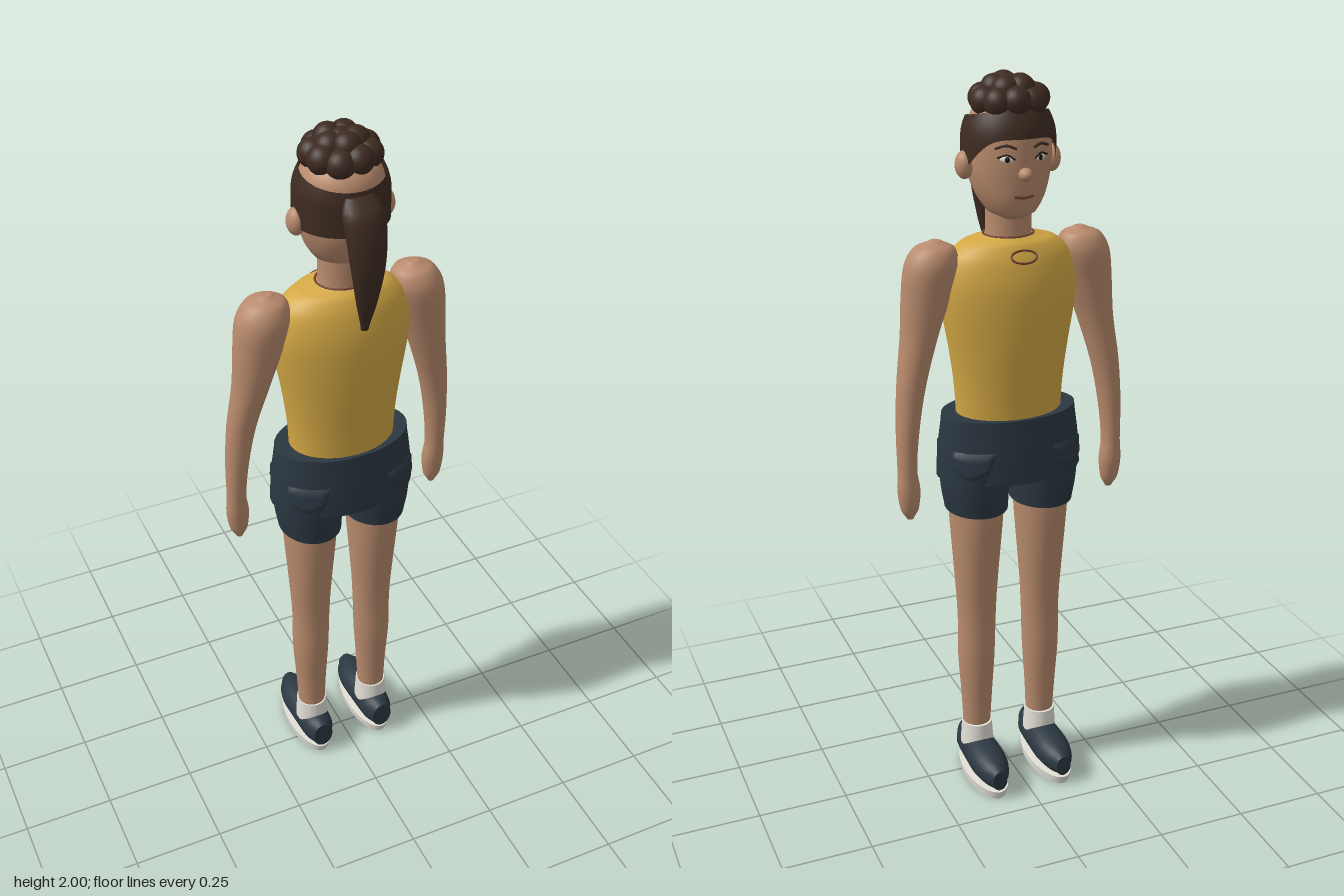
import * as THREE from 'three';

const mat = (name, color) => Object.assign(new THREE.MeshStandardMaterial({ color }), { name });
const skin = mat('skin', 0xb98b6d);
const hair = mat('hair', 0x3d2b21);
const hairOpen = mat('hair', 0x3d2b21);
hairOpen.side = THREE.DoubleSide;
const yellow = mat('yellow', 0xd3a845);
const navy = mat('navy', 0x2b3741);
const white = mat('white', 0xe2dfd6);
const dark = mat('dark', 0x1d1714);
const lip = mat('lip', 0x6f4034);

// Skin a closed tube over elliptical rows [height, centreX, centreZ, radiusX, radiusZ], bottom to top.
function loft(rows, segs = 28, steps = 4) {
  const a = new THREE.CatmullRomCurve3(rows.map(r => new THREE.Vector3(r[0], r[1], r[2])), false, 'centripetal');
  const b = new THREE.SplineCurve(rows.map(r => new THREE.Vector2(r[3], r[4])));
  const n = (rows.length - 1) * steps;
  const pos = [], idx = [];
  for (let i = 0; i <= n; i++) {
    const c = a.getPoint(i / n), r = b.getPoint(i / n);
    for (let j = 0; j < segs; j++) {
      const t = j / segs * Math.PI * 2;
      pos.push(c.y + r.x * Math.cos(t), c.x, c.z + r.y * Math.sin(t));
    }
  }
  for (let i = 0; i < n; i++) for (let j = 0; j < segs; j++) {
    const k = (j + 1) % segs, p = i * segs, q = p + segs;
    idx.push(p + j, q + j, p + k, q + j, q + k, p + k);
  }
  // flat end caps with their own vertices
  for (const end of [0, n]) {
    const c = a.getPoint(end / n), base = pos.length / 3;
    pos.push(c.y, c.x, c.z);
    for (let j = 0; j < segs * 3; j++) if (j < segs * 3) pos.push(pos[end * segs * 3 + j]);
    for (let j = 0; j < segs; j++) {
      const p = base + 1 + j, q = base + 1 + (j + 1) % segs;
      end ? idx.push(base, q, p) : idx.push(base, p, q);
    }
  }
  const g = new THREE.BufferGeometry();
  g.setAttribute('position', new THREE.Float32BufferAttribute(pos, 3));
  g.setIndex(idx);
  g.computeVertexNormals();
  return g;
}

const headRows = [
  [1.645, 0, -0.02, 0.035, 0.045], [1.662, 0, -0.02, 0.062, 0.07], [1.7, 0, -0.01, 0.087, 0.094],
  [1.75, 0, -0.002, 0.104, 0.107], [1.8, 0, 0, 0.11, 0.11], [1.85, 0, 0, 0.108, 0.108],
  [1.9, 0, 0, 0.096, 0.1], [1.945, 0, 0, 0.06, 0.065],
];

// Point on the front of the face
function facePoint(x, y, out = 0) {
  let i = 0;
  while (i < headRows.length - 2 && headRows[i + 1][0] < y) i++;
  const p = headRows[i], q = headRows[i + 1], t = (y - p[0]) / (q[0] - p[0]);
  const [, , cz, rx, rz] = p.map((v, k) => v + (q[k] - v) * t);
  return new THREE.Vector3(x, y, cz - rz * Math.sqrt(1 - (x / rx) ** 2) - out);
}

export function createModel() {
  const model = new THREE.Group();
  model.name = 'woman';
  const add = (name, geo, material, parent = model) => {
    const m = new THREE.Mesh(geo, material);
    m.name = name;
    parent.add(m);
    return m;
  };
  const ball = (name, material, p, r, parent = model) => {
    const m = add(name, new THREE.SphereGeometry(1, 20, 14), material, parent);
    m.position.set(...p);
    m.scale.set(...r);
    return m;
  };
  const tube = (name, pts, r, material, closed = false) =>
    add(name, new THREE.TubeGeometry(new THREE.CatmullRomCurve3(pts, closed), 20, r, 6, closed), material);

  // Torso, neck and head
  add('tankTop', loft([
    [1.1, 0, 0, 0.145, 0.106], [1.2, 0, 0, 0.15, 0.112], [1.3, 0, 0, 0.163, 0.12], [1.4, 0, 0, 0.18, 0.122],
    [1.48, 0, 0, 0.185, 0.117], [1.545, 0, 0, 0.168, 0.1], [1.582, 0, 0, 0.125, 0.08], [1.597, 0, 0, 0.068, 0.06],
  ], 36), yellow);
  add('neck', loft([[1.56, 0, 0, 0.066, 0.058], [1.61, 0, 0, 0.06, 0.056], [1.7, 0, 0, 0.06, 0.056]]), skin);
  add('head', loft(headRows, 36), skin);

  // Face
  ball('nose', skin, [0, 1.768, -0.113], [0.018, 0.017, 0.023]);
  tube('mouth', [[-0.025, 1.712], [0, 1.709], [0.025, 1.712]].map(p => facePoint(p[0], p[1], 0.001)), 0.004, lip);
  for (const s of [-1, 1]) {
    const eye = facePoint(s * 0.045, 1.806);
    ball('eyeWhite', white, eye.toArray(), [0.016, 0.008, 0.004]).rotation.y = -s * 0.42;
    const iris = facePoint(s * 0.044, 1.806, 0.002);
    ball('iris', dark, iris.toArray(), [0.007, 0.0075, 0.004]).rotation.y = -s * 0.42;
    tube('eyelashes', [[0.026, 1.806], [0.045, 1.817], [0.066, 1.81]]
      .map(p => facePoint(s * p[0], p[1], 0.004)), 0.0025, dark);
    tube('eyebrow', [[0.022, 1.832], [0.045, 1.84], [0.07, 1.832]]
      .map(p => facePoint(s * p[0], p[1], 0.003)), 0.0035, hair);
    ball('ear', skin, [s * 0.118, 1.78, 0], [0.024, 0.036, 0.028]);
  }

  // Hair cap, with a hairline that rises towards the forehead
  const cap = new THREE.PlaneGeometry(1, 1, 48, 8), cp = cap.attributes.position;
  for (let i = 0; i < cp.count; i++) {
    const a = -cp.getX(i) * Math.PI * 2 - Math.PI / 2, s = Math.sin(a);
    const low = 1.77 + 0.085 * THREE.MathUtils.smoothstep(-s, 0, 0.95);
    const top = 1.903 - 0.02 * s, y = low + (top - low) * (cp.getY(i) + 0.5);
    const r = y < 1.84 ? 1 : 1 - 34 * (y - 1.84) ** 2;
    cp.setXYZ(i, 0.121 * r * Math.cos(a), y, 0.117 * r * s);
  }
  cap.computeVertexNormals();
  add('hairCap', cap, hairOpen);

  // Lumpy top knot
  const knot = new THREE.Group();
  knot.name = 'topKnot';
  model.add(knot);
  ball('knotCore', hair, [0, 1.935, -0.005], [0.09, 0.036, 0.09], knot);
  for (const [count, ring, y, r] of [[9, 0.067, 1.937, 0.037], [5, 0.036, 1.962, 0.036], [1, 0, 1.962, 0.034]])
    for (let i = 0; i < count; i++) {
      const a = i / count * Math.PI * 2 + ring * 9;
      ball('curl', hair, [ring * Math.cos(a), y + 0.003 * Math.sin(i * 2.3), ring * Math.sin(a) - 0.003],
        [r, r, r], knot);
    }

  // Ponytail
  add('ponytail', loft([
    [1.525, 0, 0.138, 0.01, 0.008], [1.6, 0, 0.148, 0.026, 0.018], [1.7, 0, 0.154, 0.043, 0.029],
    [1.78, 0, 0.144, 0.051, 0.034], [1.84, 0, 0.124, 0.053, 0.034], [1.872, 0, 0.1, 0.038, 0.022],
  ], 20), hair);

  // Neck trim with a small front loop
  const loop = [];
  for (let i = 0; i < 10; i++) {
    const a = i / 10 * Math.PI * 2;
    loop.push(new THREE.Vector3(0.035 * Math.cos(a), 1.558 + 0.014 * Math.sin(a), -0.107 + 0.011 * Math.sin(a)));
  }
  tube('neckLoop', loop, 0.003, lip, true);
  const trim = add('neckTrim', new THREE.TorusGeometry(0.066, 0.003, 6, 32), lip);
  trim.rotation.x = Math.PI / 2;
  trim.scale.y = 0.9;
  trim.position.y = 1.597;

  // Shorts
  add('shortsHips', loft([[0.945, 0, 0, 0.203, 0.133], [1.03, 0, 0, 0.198, 0.127], [1.12, 0, 0, 0.187, 0.118]], 36), navy);

  // Pockets wrapped onto the hips, pointed at the bottom
  for (const mid of [0.78, Math.PI - 0.78, Math.PI + 0.78, -0.78]) {
    const g = new THREE.PlaneGeometry(2, 1, 12, 6), p = g.attributes.position;
    for (let i = 0; i < p.count; i++) {
      const u = p.getX(i), v = p.getY(i) + 0.5;
      const edge = Math.abs(u) > 0.99 || v < 0.01 || v > 0.99;
      const low = 0.953 + 0.04 * Math.max(0, Math.abs(u) - 0.25);
      const y = low + (1.04 - low) * v, out = edge ? -0.003 : 0.009;
      const a = mid - u * 0.4 * (0.75 + 0.25 * v), k = (1.12 - y) / 0.175;
      p.setXYZ(i, (0.187 + 0.016 * k + out) * Math.cos(a), y, (0.118 + 0.015 * k + out) * Math.sin(a));
    }
    g.computeVertexNormals();
    add('pocket', g, navy);
  }

  for (const s of [-1, 1]) {
    const side = s > 0 ? 'left' : 'right';
    const mirrored = rows => rows.map(([h, x, ...rest]) => [h, s * x, ...rest]);

    // Arm, from fingertips to shoulder
    add(side + 'Arm', loft(mirrored([
      [0.848, 0.292, -0.024, 0.009, 0.008], [0.875, 0.293, -0.025, 0.024, 0.02], [0.93, 0.294, -0.025, 0.031, 0.027],
      [0.99, 0.296, -0.022, 0.026, 0.028], [1.1, 0.291, -0.018, 0.031, 0.034], [1.22, 0.276, -0.012, 0.039, 0.039],
      [1.35, 0.248, -0.002, 0.05, 0.05], [1.46, 0.225, 0, 0.066, 0.06], [1.535, 0.21, -0.001, 0.071, 0.066],
      [1.578, 0.203, -0.002, 0.052, 0.048], [1.596, 0.2, -0.002, 0.014, 0.013],
    ])), skin);

    // Leg and shorts leg
    add(side + 'ShortsLeg', loft(mirrored([[0.845, 0.095, 0, 0.085, 0.1], [0.9, 0.098, 0, 0.091, 0.107], [0.99, 0.098, 0, 0.096, 0.115]])), navy);
    add(side + 'Leg', loft(mirrored([
      [0.14, 0.098, 0.002, 0.039, 0.039], [0.25, 0.098, 0, 0.044, 0.043], [0.38, 0.098, 0, 0.052, 0.051],
      [0.5, 0.096, 0, 0.054, 0.051], [0.62, 0.096, 0, 0.06, 0.061], [0.86, 0.095, 0, 0.075, 0.086],
    ])), skin);

    // Sock, shoe and sole
    add(side + 'Sock', loft(mirrored([[0.09, 0.098, 0, 0.047, 0.051], [0.125, 0.098, 0, 0.045, 0.049], [0.162, 0.098, 0, 0.043, 0.046]])), white);
    const shoe = add(side + 'Shoe', loft(mirrored([
      [-0.086, 0.098, 0.07, 0.03, 0.042], [-0.05, 0.098, 0.071, 0.045, 0.048], [0.03, 0.098, 0.071, 0.051, 0.048],
      [0.1, 0.098, 0.068, 0.052, 0.045], [0.15, 0.098, 0.064, 0.04, 0.039], [0.182, 0.098, 0.06, 0.022, 0.03],
    ])), navy);
    shoe.rotation.x = -Math.PI / 2;
    const sole = add(side + 'Sole', new THREE.CylinderGeometry(1, 0.95, 1, 32), white);
    sole.position.set(s * 0.098, 0.0125, -0.048);
    sole.scale.set(0.055, 0.025, 0.137);
  }
  return model;
}
